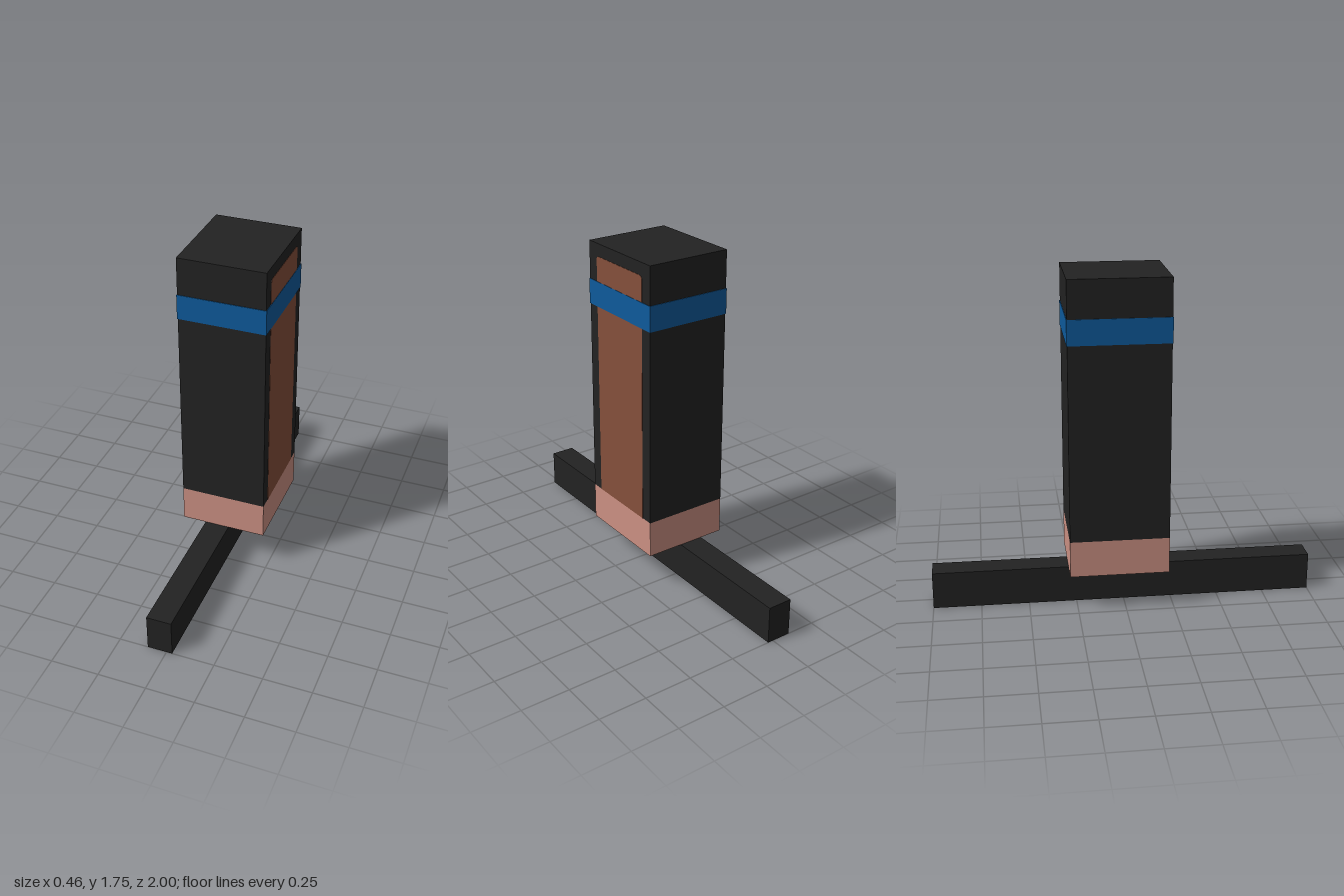
import * as THREE from 'three';

const material = (name, color) => {
  const m = new THREE.MeshStandardMaterial({ color });
  m.name = name;
  return m;
};

export function createModel() {
  const black = material('black', 0x222222);
  const blue = material('blue', 0x0e5a9b);
  const pink = material('pink', 0xcb9083);
  const brown = material('brown', 0x854f3b);

  const model = new THREE.Group();
  const add = (name, geometry, mat) => {
    const mesh = new THREE.Mesh(geometry, mat);
    mesh.name = name;
    model.add(mesh);
  };
  // Box given by its lower and upper corners
  const box = (name, mat, [x0, y0, z0], [x1, y1, z1]) => {
    const g = new THREE.BoxGeometry(x1 - x0, y1 - y0, z1 - z0);
    g.translate((x0 + x1) / 2, (y0 + y1) / 2, (z0 + z1) / 2);
    add(name, g, mat);
  };

  const X = 0.225, back = -0.29, front = 0.225;
  const e = 0.003; // raise of the band over the body

  // Long bar that the tower stands on
  box('baseBar', black, [-0.1, 0, -1], [0.03, 0.197, 1]);

  // Tower: pink foot, black body and a blue band around it
  box('foot', pink, [-X, 0.197, back], [X, 0.39, front]);
  box('body', black, [-X, 0.39, back], [X, 1.745, front]);
  box('band', blue, [-X - e, 1.42, back - e], [X + e, 1.55, front + e]);

  // Brown panel on the left side, with rounded upper corners
  const z0 = -0.225, z1 = 0.16, y0 = 0.39, y1 = 1.68, r = 0.02;
  const shape = new THREE.Shape();
  shape.moveTo(-z1, y0);
  shape.lineTo(-z0, y0);
  shape.lineTo(-z0, y1 - r);
  shape.quadraticCurveTo(-z0, y1, -z0 - r, y1);
  shape.lineTo(-z1 + r, y1);
  shape.quadraticCurveTo(-z1, y1, -z1, y1 - r);
  shape.closePath();
  const panel = new THREE.ExtrudeGeometry(shape, { depth: 0.0015, bevelEnabled: false, curveSegments: 5 });
  panel.rotateY(Math.PI / 2);
  panel.translate(X, 0, 0);
  add('sidePanel', panel, brown);

  return model;
}
